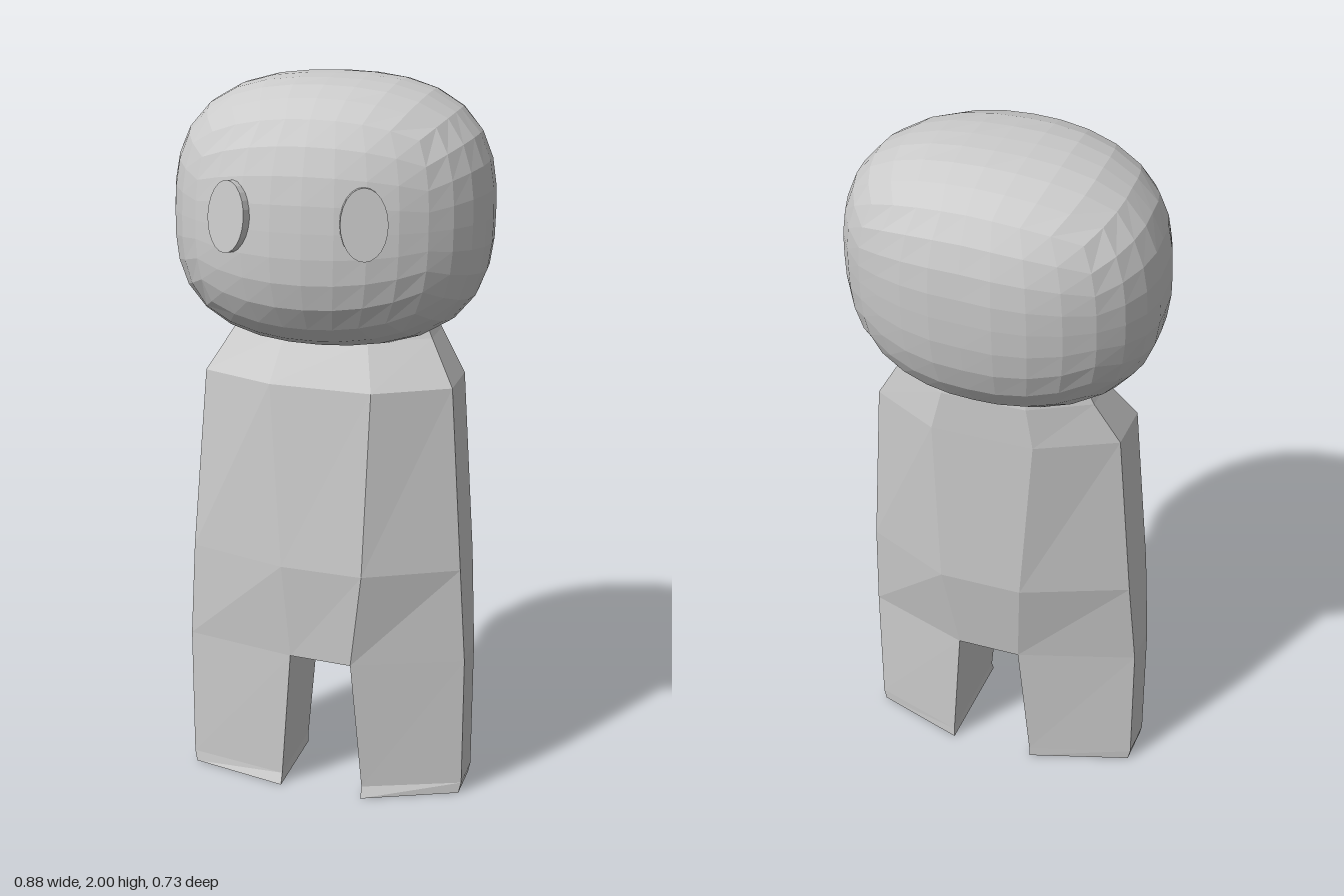
import * as THREE from 'three';

const material = new THREE.MeshStandardMaterial({ color: 0xcccccc, flatShading: true });

function addMesh(group, name, geometry) {
  const mesh = new THREE.Mesh(geometry, material);
  mesh.name = name;
  group.add(mesh);
  return mesh;
}

// Skin a stack of rings ({ y, pts: [[x, z], ...] }), listed from the bottom up
// and counter-clockwise seen from above, with optional flat ends.
function loft(rings, capBottom, capTop, extra = []) {
  const verts = [];
  const tri = (...corners) => corners.forEach((c) => verts.push(...c));
  const at = (ring, i) => {
    const [x, z] = ring.pts[i % ring.pts.length];
    return [x, ring.y, z];
  };
  const n = rings[0].pts.length;
  for (let r = 0; r < rings.length - 1; r++) {
    for (let i = 0; i < n; i++) {
      const a = at(rings[r], i), b = at(rings[r], i + 1);
      const c = at(rings[r + 1], i + 1), d = at(rings[r + 1], i);
      tri(a, b, c);
      tri(a, c, d);
    }
  }
  const low = rings[0], high = rings[rings.length - 1];
  for (let i = 1; i < n - 1; i++) {
    if (capBottom) tri(at(low, 0), at(low, i + 1), at(low, i));
    if (capTop) tri(at(high, 0), at(high, i), at(high, i + 1));
  }
  extra.forEach(([a, b, c, d]) => {
    tri(at(low, a), at(low, b), at(low, c));
    tri(at(low, a), at(low, c), at(low, d));
  });
  const geometry = new THREE.BufferGeometry();
  geometry.setAttribute('position', new THREE.Float32BufferAttribute(verts, 3));
  geometry.computeVertexNormals();
  return geometry;
}

// Eight-cornered body section: inner corners at xl / xr, outer corners at +-w.
function section(y, w, xl, xr, front, back, sideFront, sideBack) {
  return {
    y,
    pts: [
      [xr, front], [w, sideFront], [w, sideBack], [xr, back],
      [xl, back], [-w, sideBack], [-w, sideFront - 0.02], [xl, front - 0.03],
    ],
  };
}

// Rounded-box head, slightly lopsided, from a spherified cube.
function headGeometry() {
  const geometry = new THREE.BoxGeometry(2, 2, 2, 8, 8, 8);
  const pos = geometry.attributes.position;
  const v = new THREE.Vector3();
  const flat = 2.1, tall = 2.75;
  for (let i = 0; i < pos.count; i++) {
    v.fromBufferAttribute(pos, i);
    v.set(...v.toArray().map((c) => Math.tan(c * Math.PI / 4))).normalize();
    const around = Math.abs(v.x) ** flat + Math.abs(v.z) ** flat;
    const size = (around ** (tall / flat) + Math.abs(v.y) ** tall) ** (-1 / tall);
    const bulge = v.x < 0 && v.z < 0 ? 1 + 0.15 * v.x * v.z : 1;
    v.multiplyScalar(size);
    pos.setXYZ(
      i,
      v.x * 0.437 * bulge,
      1.64 + v.y * 0.36 + (v.y < 0 ? -0.02 * v.y * v.z : 0),
      v.z * 0.355 * bulge - 0.025 * v.y,
    );
  }
  geometry.computeVertexNormals();
  return geometry;
}

export function createModel() {
  const model = new THREE.Group();
  model.name = 'figure';

  // Torso, with the underside between the legs
  const hip = section(0.4, 0.4, -0.08, 0.1, 0.22, -0.135, 0.11, -0.03);
  addMesh(model, 'torso', loft([
    hip,
    section(0.67, 0.385, -0.1, 0.135, 0.24, -0.18, 0.115, -0.06),
    section(1.18, 0.35, -0.14, 0.15, 0.2, -0.19, 0.09, -0.08),
    section(1.3, 0.28, -0.12, 0.12, 0.115, -0.19, 0.03, -0.1),
    section(1.36, 0.25, -0.11, 0.11, 0.08, -0.18, 0.01, -0.1),
  ], false, true, [[4, 3, 0, 7]]));

  // Legs, each one half of the body section
  const ankle = section(0.03, 0.397, -0.11, 0.13, 0.205, -0.115, 0.11, -0.025);
  const sole = section(0, 0.39, -0.11, 0.13, 0.22, -0.115, 0.115, -0.025);
  [['leftLeg', 0], ['rightLeg', 4]].forEach(([name, start]) => {
    const half = (s) => ({ y: s.y, pts: s.pts.slice(start, start + 4) });
    addMesh(model, name, loft([sole, ankle, hip].map(half), true, false));
  });

  // Head
  addMesh(model, 'head', headGeometry());

  // Eyes: thin oval discs turned to follow the face
  const disc = new THREE.CylinderGeometry(1, 1, 1, 24).rotateX(Math.PI / 2);
  [
    ['leftEye', 0.16, 0.328, 0.32],
    ['rightEye', -0.2, 0.312, -0.44],
  ].forEach(([name, x, z, yaw]) => {
    const eye = addMesh(model, name, disc);
    eye.scale.set(0.062, 0.095, 0.04);
    eye.rotation.set(-0.1, yaw, 0, 'YXZ');
    eye.position.set(x, 1.668, z);
  });

  return model;
}
